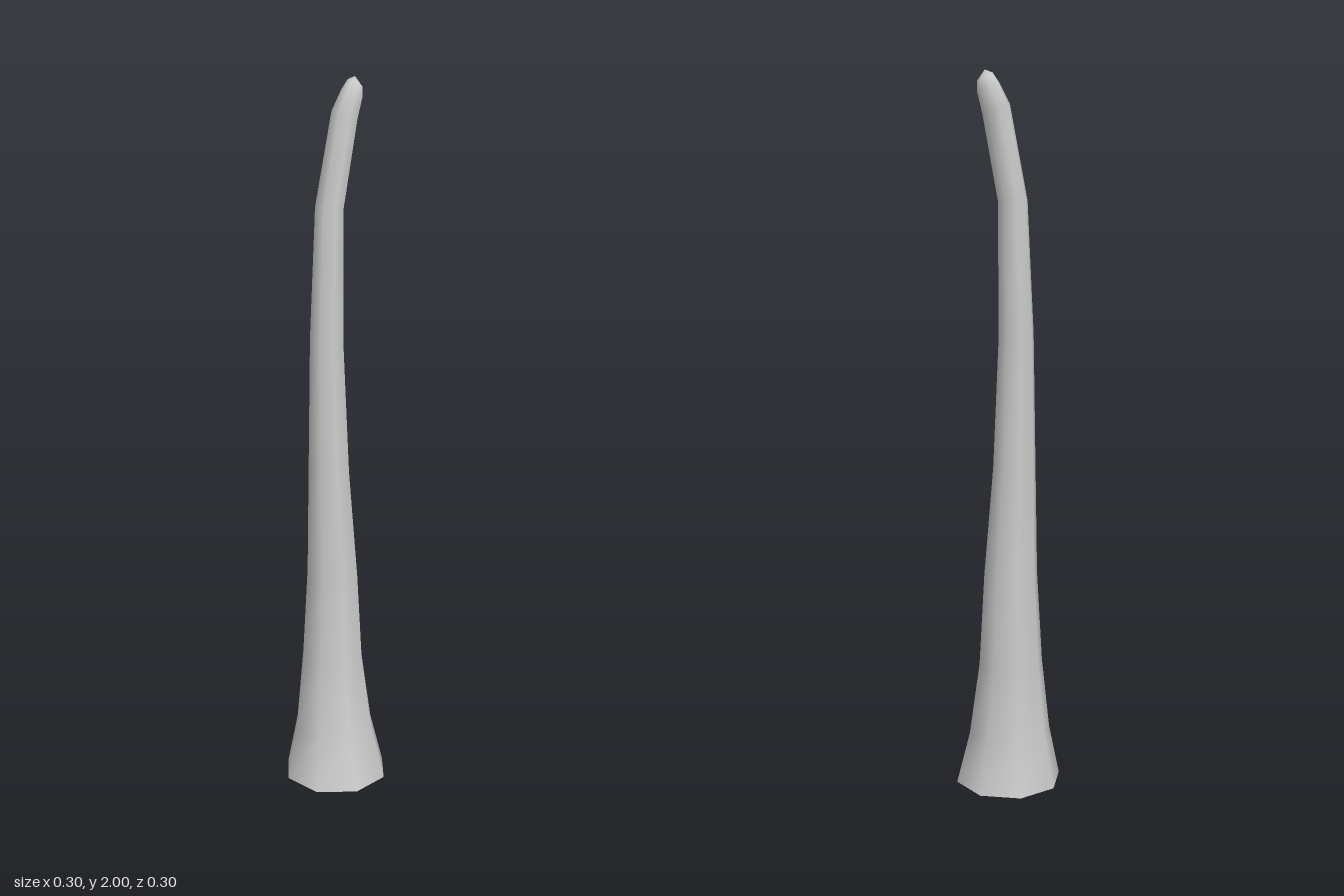
import * as THREE from 'three';

// Cross-sections from base to tip: [y, xMin, xMax, zMin, zMax, tilt]
// tilt = how far the -x edge rises and the +x edge drops
const RINGS = [
  [0.00, -0.152, 0.152, -0.152, 0.152, 0],
  [0.15, -0.120, 0.115, -0.120, 0.108, 0],
  [0.36, -0.095, 0.088, -0.108, 0.076, 0],
  [0.62, -0.079, 0.074, -0.095, 0.058, 0],
  [0.93, -0.073, 0.048, -0.082, 0.042, 0],
  [1.30, -0.065, 0.033, -0.075, 0.024, 0],
  [1.66, -0.045, 0.037, -0.075, 0.008, 0],
  [1.90, 0.005, 0.080, -0.075, -0.004, 0.012],
  [1.955, 0.034, 0.094, -0.070, -0.011, 0.012],
  [1.982, 0.052, 0.094, -0.058, -0.021, 0.011],
];
const TIP = [0.073, 2.0, -0.04];
const SIDES = 8;

// Closed tip, open base, octagonal sections with smooth normals
function hornGeometry() {
  const positions = [], index = [];
  for (const [y, x0, x1, z0, z1, tilt] of RINGS) {
    for (let i = 0; i < SIDES; i++) {
      const a = (i / SIDES) * Math.PI * 2;
      const c = Math.cos(a), s = Math.sin(a);
      positions.push(
        (x0 + x1) / 2 + c * (x1 - x0) / 2,
        y - c * tilt,
        (z0 + z1) / 2 + s * (z1 - z0) / 2);
    }
  }
  const tip = positions.length / 3;
  positions.push(...TIP);

  for (let r = 0; r < RINGS.length; r++) {
    for (let i = 0; i < SIDES; i++) {
      const a = r * SIDES + i, b = r * SIDES + (i + 1) % SIDES;
      if (r === RINGS.length - 1) index.push(a, tip, b);
      else index.push(a, a + SIDES, b, b, a + SIDES, b + SIDES);
    }
  }
  const geometry = new THREE.BufferGeometry();
  geometry.setAttribute('position', new THREE.Float32BufferAttribute(positions, 3));
  geometry.setIndex(index);
  geometry.computeVertexNormals();
  return geometry;
}

export function createModel() {
  const group = new THREE.Group();
  const material = new THREE.MeshStandardMaterial({ color: 0xcccccc, side: THREE.DoubleSide });
  const horn = new THREE.Mesh(hornGeometry(), material);
  horn.name = 'taperedHorn';
  group.add(horn);
  return group;
}
